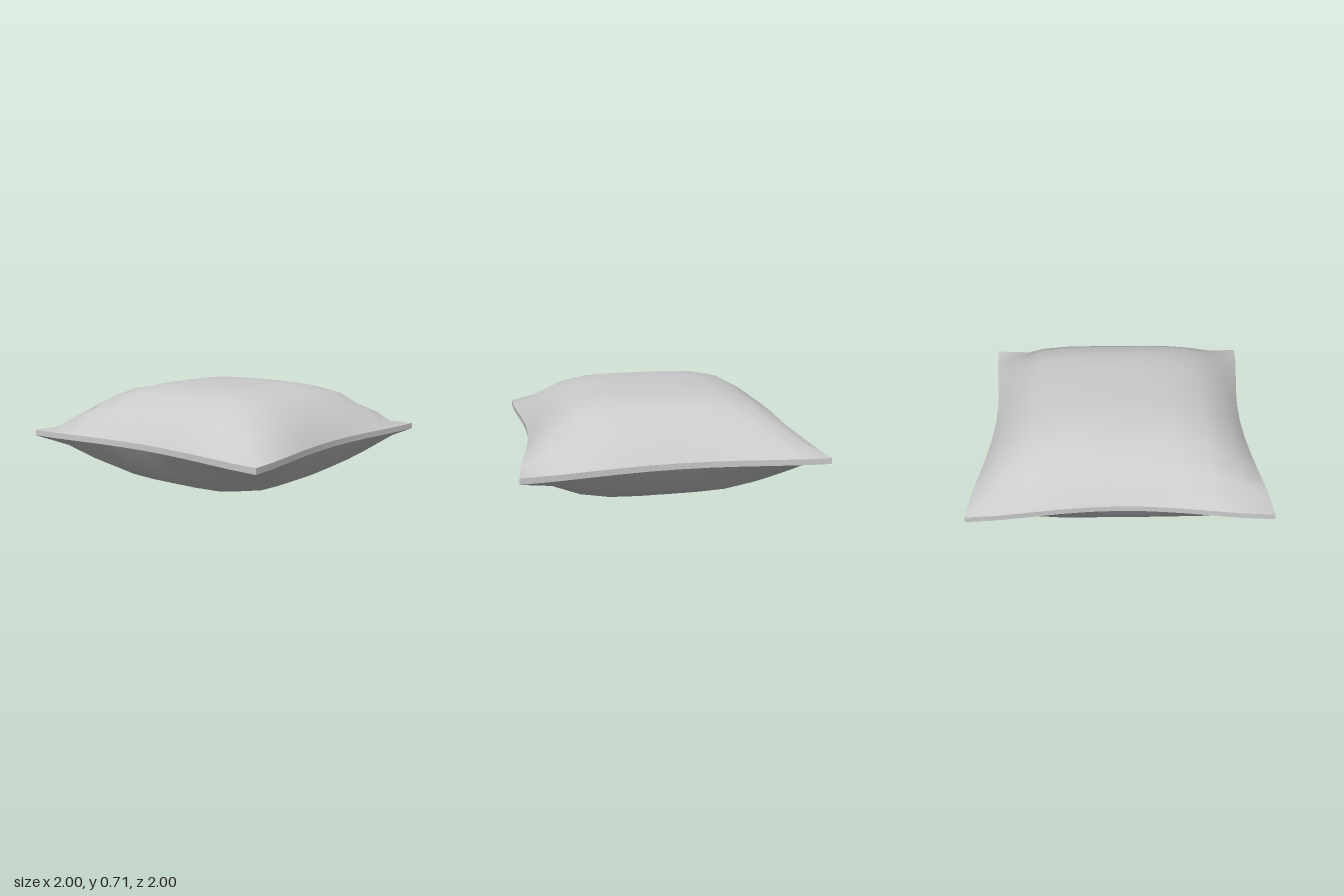
import * as THREE from 'three';

const SEGMENTS = 10;
const RIM = 0.04;     // thickness of the seam band
const PUFF = 0.335;   // height of the stuffing above the seam
const PINCH = 0.09;   // how far the middle of each side is drawn in

// fullness across the cushion: flat in the middle, dropping to the seam
const fullness = (t) => Math.pow(Math.max(0, 1 - t ** 4), 1.2);

// pulls a coordinate inward near the seam, most at the middle of a side
const drawIn = (a, b) =>
  a - Math.sign(a) * PINCH * Math.abs(a) ** 8 * Math.max(0, 1 - b * b) ** 1.9;

export function createModel() {
  const group = new THREE.Group();
  group.name = 'pillow';

  // thin square slab, puffed up on both faces; its sides stay as the seam band
  const geometry = new THREE.BoxGeometry(2, RIM, 2, SEGMENTS, 1, SEGMENTS);
  const pos = geometry.attributes.position;
  for (let i = 0; i < pos.count; i++) {
    const u = pos.getX(i);
    const v = pos.getZ(i);
    const side = Math.sign(pos.getY(i));
    const y = side * (RIM / 2 + PUFF * fullness(u) * fullness(v));
    pos.setXYZ(i, drawIn(u, v), y, drawIn(v, u));
  }
  geometry.computeVertexNormals();

  const cushion = new THREE.Mesh(
    geometry,
    new THREE.MeshStandardMaterial({ color: 0xcccccc })
  );
  cushion.name = 'cushion';
  cushion.position.y = PUFF + RIM / 2;
  group.add(cushion);
  return group;
}
